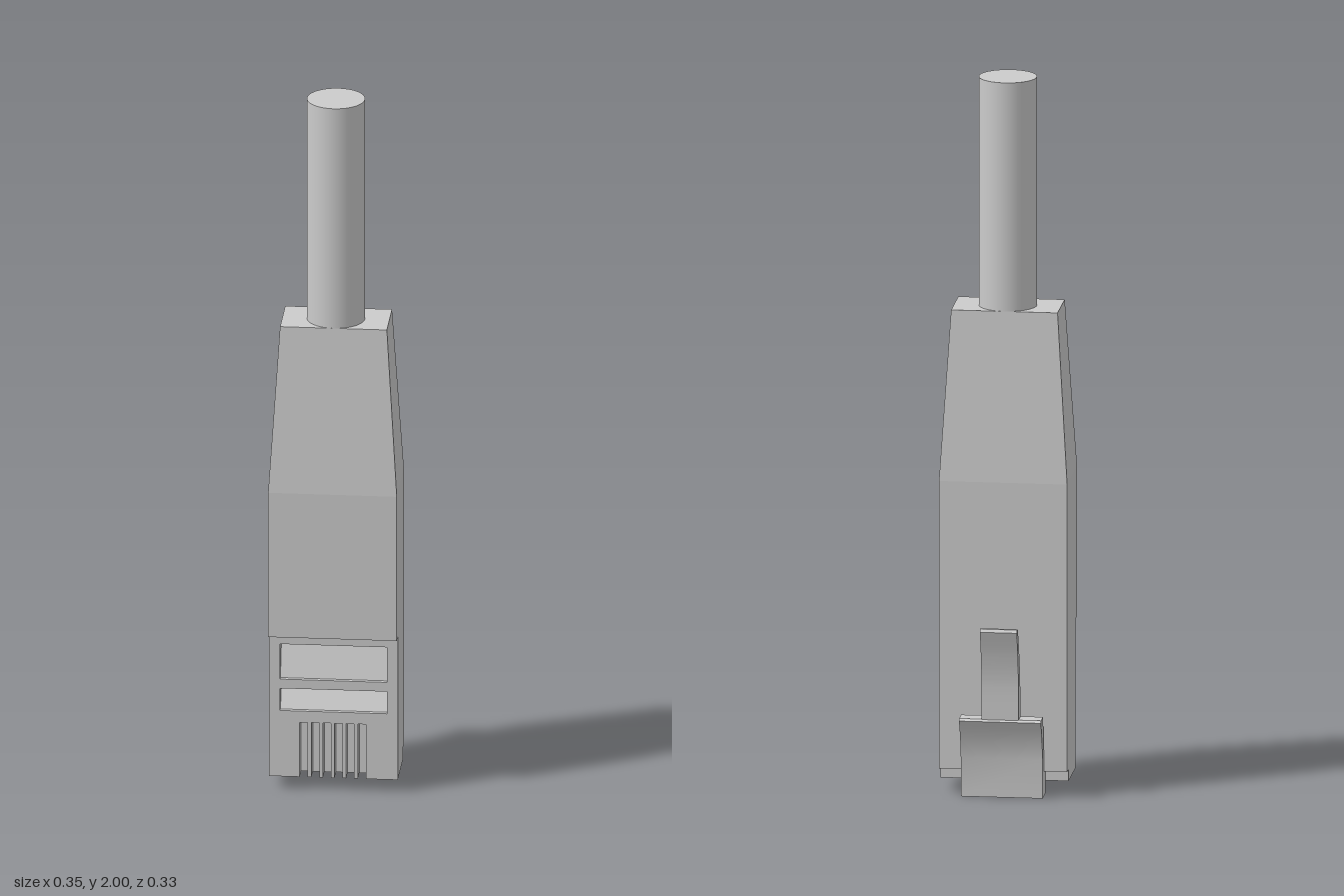
import * as THREE from 'three';
import { toCreasedNormals } from 'three/addons/utils/BufferGeometryUtils.js';

const grey = new THREE.MeshStandardMaterial({ color: 0xcccccc });

function part(group, name, geometry) {
  const mesh = new THREE.Mesh(geometry, grey);
  mesh.name = name;
  group.add(mesh);
  return mesh;
}

const shapeOf = (points) => new THREE.Shape(points.map(([a, b]) => new THREE.Vector2(a, b)));

// Side profile given as (z, y), extruded symmetrically across x
function sideExtrude(shape, width) {
  const g = new THREE.ExtrudeGeometry(shape, { depth: width, bevelEnabled: false, curveSegments: 10 });
  g.translate(0, 0, -width / 2);
  g.rotateY(-Math.PI / 2);
  return toCreasedNormals(g, 0.6);
}

export function createModel() {
  const model = new THREE.Group();
  model.name = 'networkPlug';
  const W = 0.177, bottom = 0.037, bodyTop = 0.457, face = 0.13, floor = 0.085;

  // Rear part of the plug body, with the notch where the clip is rooted
  part(model, 'plugBody', sideExtrude(shapeOf([
    [-0.028, bottom], [floor, bottom], [floor, bodyTop], [-0.06, bodyTop], [-0.06, 0.07], [-0.028, 0.07],
  ]), W * 2));

  // Front plate: contact slots open at the bottom, two windows above
  const outline = [[-W, bodyTop], [-W, bottom]];
  for (let i = 0; i < 6; i++) {
    const x = (i - 2.5) * 0.032 - 0.002;
    outline.push([x - 0.011, bottom], [x - 0.011, 0.197], [x + 0.011, 0.197], [x + 0.011, bottom]);
  }
  outline.push([W, bottom], [W, bodyTop]);
  const plate = shapeOf(outline);
  const windows = [[0.322, 0.425], [0.23, 0.295]];
  const wx = 0.147;
  for (const [a, b] of windows) {
    plate.holes.push(new THREE.Path([[-wx, a], [-wx, b], [wx, b], [wx, a]].map(([x, y]) => new THREE.Vector2(x, y))));
  }
  const plateGeometry = new THREE.ExtrudeGeometry(plate, { depth: face - floor, bevelEnabled: false });
  part(model, 'frontPlate', plateGeometry.translate(0, 0, floor));

  // Sloping floors inside the windows
  for (const [a, b] of windows) {
    part(model, 'windowRamp', sideExtrude(shapeOf([[floor, a], [face - 0.012, a], [floor, b]]), wx * 2));
  }

  // Boot: a box whose upper half tapers toward the cable
  const boot = new THREE.BoxGeometry(1, 2, 1, 1, 2, 1);
  const levels = [ // y, half width, back z, front z
    [bodyTop, W, -0.06, 0.163],
    [0.88, W, -0.06, 0.163],
    [1.356, 0.147, -0.03, 0.13],
  ];
  const p = boot.attributes.position;
  for (let i = 0; i < p.count; i++) {
    const [y, w, back, front] = levels[Math.round(p.getY(i)) + 1];
    p.setXYZ(i, Math.sign(p.getX(i)) * w, y, p.getZ(i) > 0 ? front : back);
  }
  part(model, 'boot', toCreasedNormals(boot, 0.03));

  // Cable
  const cable = part(model, 'cable', new THREE.CylinderGeometry(0.08, 0.08, 0.65, 40));
  cable.position.set(0, 1.675, 0.05);

  // Locking clip: wide hinge, then a narrow curved release tongue
  const clip = new THREE.Group();
  clip.name = 'clip';
  model.add(clip);
  const hinge = shapeOf([
    [-0.028, 0], [-0.028, 0.07], [-0.06, 0.07], [-0.064, 0.13], [-0.08, 0.228],
    [-0.125, 0.228], [-0.131, 0.222], [-0.118, 0.2], [-0.102, 0.16], [-0.09, 0.11], [-0.088, 0],
  ]);
  part(clip, 'clipHinge', sideExtrude(hinge, 0.226));

  const tongue = new THREE.Shape();
  const v = (z, y) => new THREE.Vector2(z, y);
  tongue.moveTo(-0.08, 0.22);
  tongue.splineThru([v(-0.09, 0.33), v(-0.11, 0.41), v(-0.138, 0.478), v(-0.15, 0.49)]);
  tongue.lineTo(-0.16, 0.49);
  tongue.lineTo(-0.165, 0.482);
  tongue.splineThru([v(-0.143, 0.41), v(-0.129, 0.33), v(-0.126, 0.22)]);
  tongue.closePath();
  part(clip, 'clipTongue', sideExtrude(tongue, 0.102));

  return model;
}
